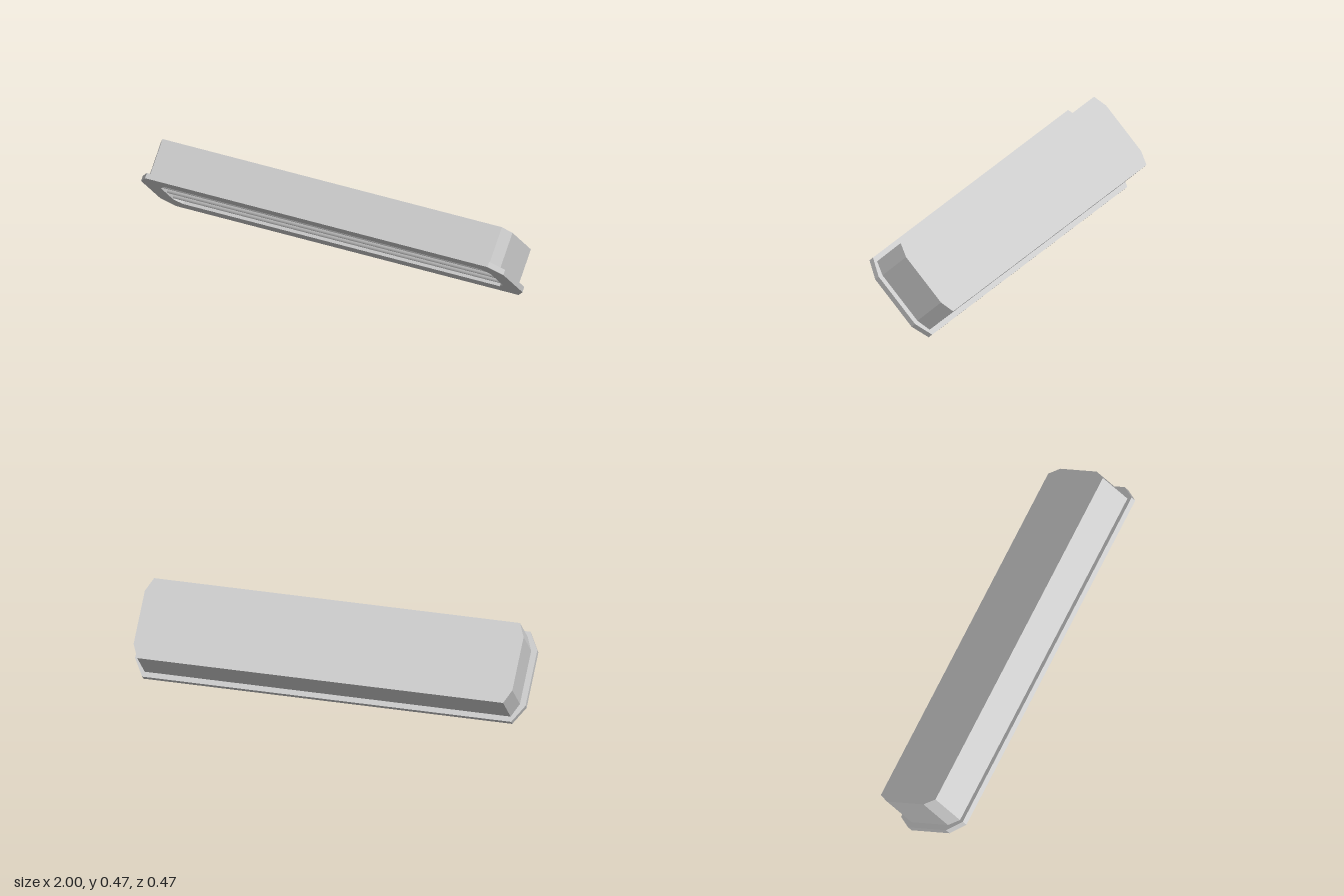
import * as THREE from 'three';

const material = new THREE.MeshStandardMaterial({ color: 0xcccccc, flatShading: true });
const smooth = new THREE.MeshStandardMaterial({ color: 0xcccccc });

// Rectangle with chamfered corners: half width, half height, chamfer sizes
function outline(w, h, cx, cy) {
  return [
    [w, -h + cy], [w, h - cy], [w - cx, h], [-w + cx, h],
    [-w, h - cy], [-w, -h + cy], [-w + cx, -h], [w - cx, -h],
  ].map(([x, y]) => new THREE.Vector2(x, y));
}

// Extrudes an outline between two depths, with an optional hole
function slab(name, points, hole, back, front) {
  const shape = new THREE.Shape(points);
  if (hole) shape.holes.push(new THREE.Path(hole));
  const geometry = new THREE.ExtrudeGeometry(shape, { depth: front - back, bevelEnabled: false });
  geometry.translate(0, 0, back);
  const mesh = new THREE.Mesh(geometry, material);
  mesh.name = name;
  return mesh;
}

export function createModel() {
  const model = new THREE.Group();
  model.name = 'ventGrille';

  // The whole vent leans so that its opening faces forward and down
  const vent = new THREE.Group();
  vent.name = 'tiltedVent';
  vent.rotation.x = Math.PI / 4;
  vent.position.set(0, 0.17, 0.068);
  model.add(vent);

  const opening = outline(0.91, 0.146, 0.035, 0.05);
  const body = outline(0.97, 0.212, 0.033, 0.071);

  // Flange, hollow housing and closed back
  vent.add(slab('frontFlange', outline(1, 0.239, 0.055, 0.092), opening, -0.028, 0));
  vent.add(slab('housing', body, opening, -0.19, -0.028));
  vent.add(slab('backPanel', body, null, -0.218, -0.19));

  // Horizontal slats with an elliptical section
  const slatGeometry = new THREE.CylinderGeometry(1, 1, 1.82, 20);
  slatGeometry.rotateZ(Math.PI / 2);
  slatGeometry.scale(1, 0.018, 0.05);
  for (const y of [-0.092, 0, 0.092]) {
    const slat = new THREE.Mesh(slatGeometry, smooth);
    slat.name = 'slat';
    slat.position.set(0, y, -0.055);
    vent.add(slat);
  }
  return model;
}
